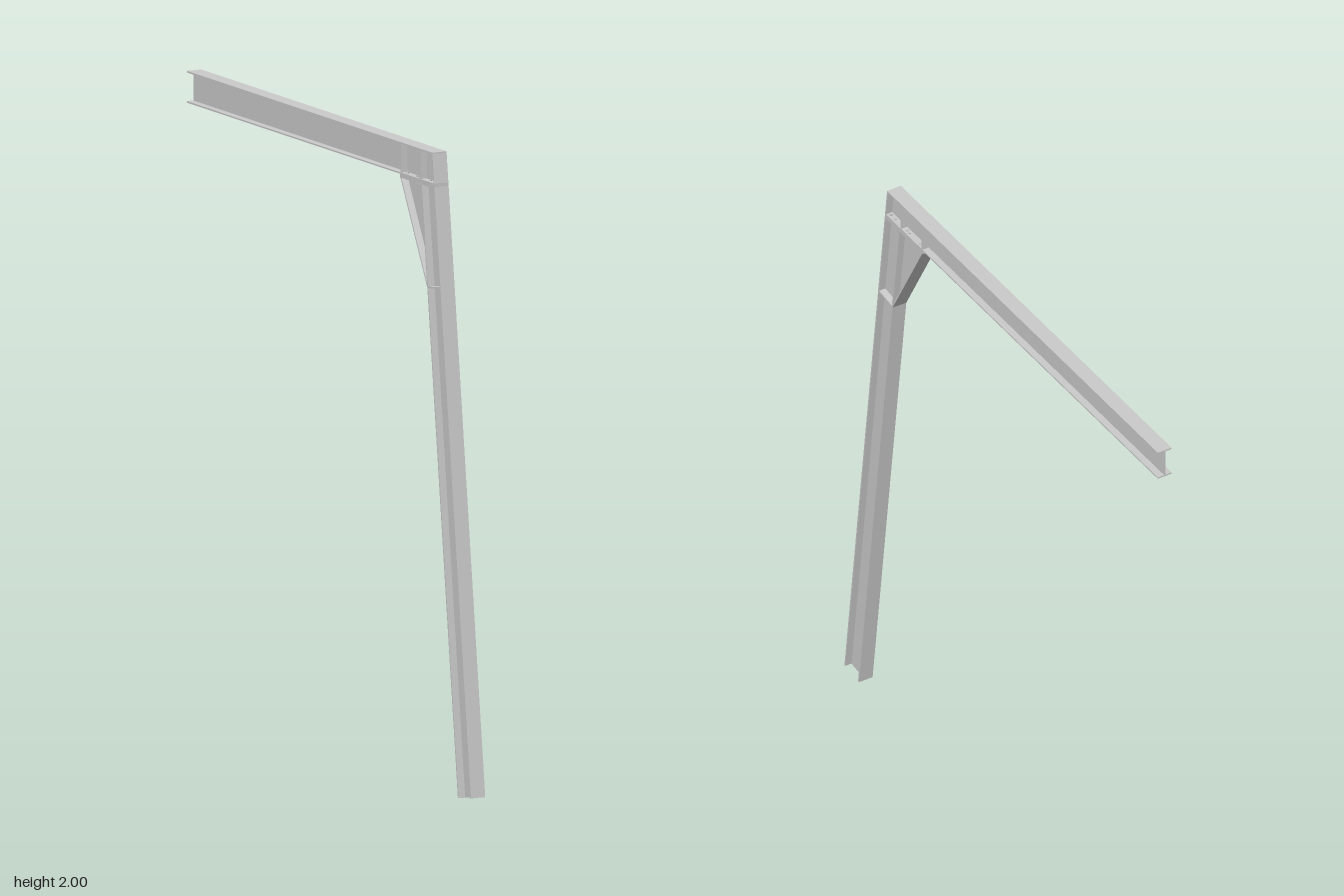
import * as THREE from 'three';

const W = 0.05;   // flange width
const T = 0.005;  // flange thickness
const WEB = 0.004;

export function createModel() {
  const group = new THREE.Group();
  const steel = new THREE.MeshStandardMaterial({ color: 0xcccccc, flatShading: true });

  const add = (name, geometry) => {
    const mesh = new THREE.Mesh(geometry, steel);
    mesh.name = name;
    group.add(mesh);
    return mesh;
  };

  // Flat plate: outline in (z, y), extruded across x and centred
  const plate = (name, points, width) => {
    const shape = new THREE.Shape(points.map(([z, y]) => new THREE.Vector2(z, y)));
    const g = new THREE.ExtrudeGeometry(shape, { depth: width, bevelEnabled: false });
    g.translate(0, 0, -width / 2);
    g.rotateY(-Math.PI / 2);
    return add(name, g);
  };

  // Strip from a to b; dz shifts the second long edge along z
  const strip = (name, a, b, dz) =>
    plate(name, [a, b, [b[0] + dz, b[1]], [a[0] + dz, a[1]]], W);
  const level = (name, z0, z1, y0, y1) =>
    plate(name, [[z0, y0], [z1, y0], [z1, y1], [z0, y1]], W);

  // Lines of the leaning column's two faces
  const lean = 0.126;
  const outer = (y) => 0.92 - (y - 0.012) * lean;
  const inner = (y) => 0.835 - y * lean;

  const back = -0.92, beamBottom = 1.9, seat = 1.894, haunchTop = 0.46, haunchFoot = 1.57;

  // Horizontal beam
  level('beamTopFlange', back, outer(2), 2 - T, 2);
  level('beamBottomFlange', back, outer(beamBottom), beamBottom, beamBottom + T);
  plate('beamWeb', [
    [back, beamBottom + T], [outer(beamBottom + T) - T, beamBottom + T],
    [outer(2 - T) - T, 2 - T], [back, 2 - T],
  ], WEB);
  strip('beamEndPlate', [outer(beamBottom + T), beamBottom + T], [outer(2 - T), 2 - T], -T);
  for (const z of [0.59, haunchTop + 0.004]) {
    level('beamStiffener', z - 0.002, z + 0.002, beamBottom + T, 2 - T);
  }

  // Leaning column with a square-cut foot
  strip('columnOuterFlange', [outer(0.012), 0.012], [outer(seat), seat], -T);
  strip('columnInnerFlange', [inner(0), 0], [inner(seat), seat], T);
  plate('columnWeb', [
    [outer(0.012) - T, 0.0115], [inner(0) + T, 0.0005],
    [inner(seat) + T, seat], [outer(seat) - T, seat],
  ], WEB);
  plate('columnStiffener', [
    [inner(haunchFoot) + T, haunchFoot], [outer(1.58) - T, 1.58],
    [outer(1.58) - T, 1.585], [inner(haunchFoot) + T, haunchFoot + 0.005],
  ], W);

  // Haunch bracing the inside corner
  level('seatPlate', haunchTop, outer(seat), seat - T, beamBottom);
  strip('haunchFlange', [inner(haunchFoot), haunchFoot], [haunchTop + 0.003, seat - T], 0.006);
  plate('haunchWeb', [
    [inner(haunchFoot + 0.01), haunchFoot + 0.01],
    [inner(seat - T), seat - T], [haunchTop + 0.006, seat - T],
  ], WEB);

  // Bolt pairs joining the seat plate to the beam
  for (const z of [0.664, 0.638, 0.569, 0.553, 0.489]) {
    for (const side of [-1, 1]) {
      const bolt = add('bolt', new THREE.CylinderGeometry(0.004, 0.004, 0.026, 6));
      bolt.position.set(side * 0.014, 1.897, z);
    }
  }
  return group;
}
